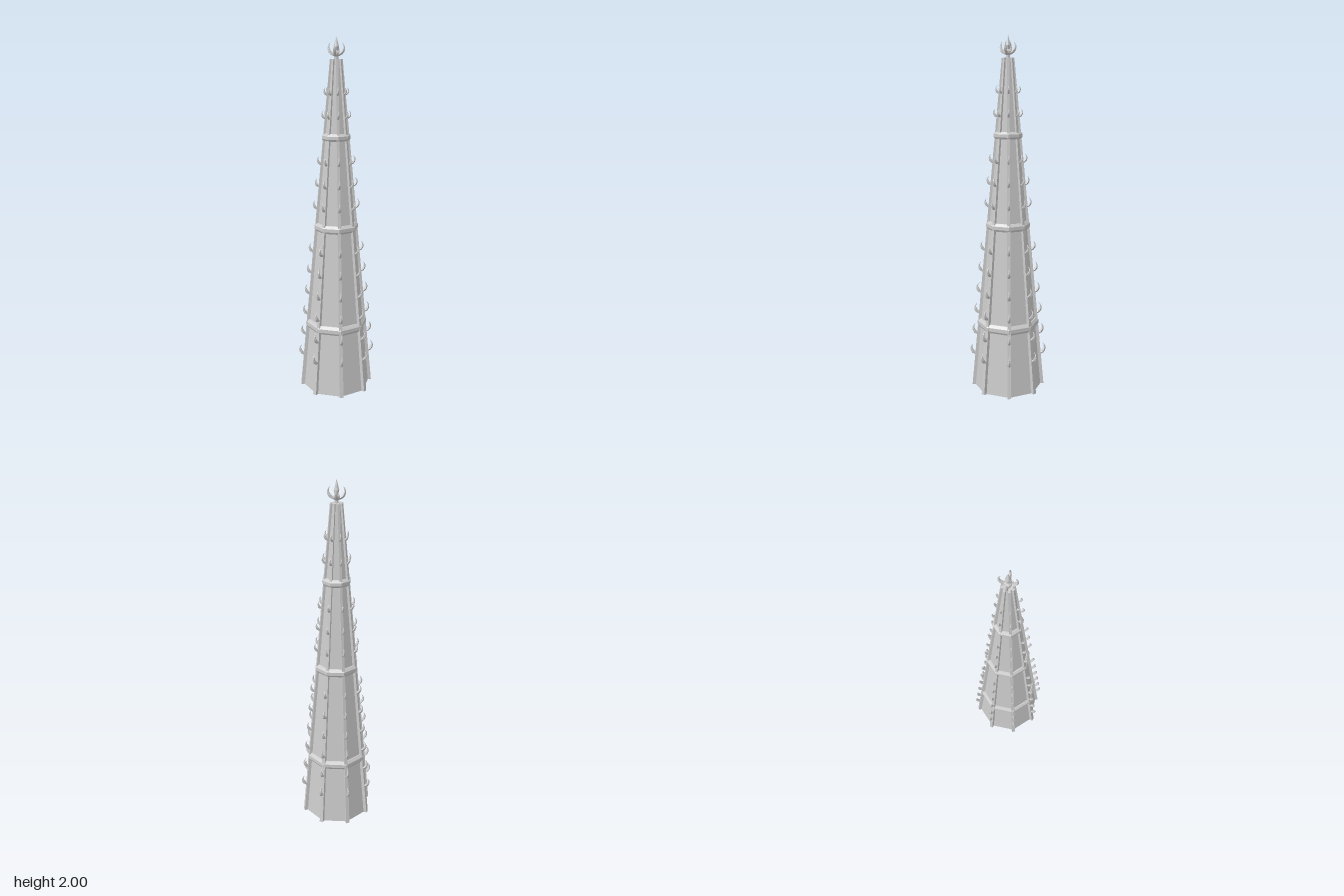
import * as THREE from 'three';

const TOP = 1.88;
const SIDES = 8;
const bodyRadius = (y) => 0.195 - (0.195 - 0.026) * (y / TOP);
const ribRadius = (y) => 0.21 - (0.21 - 0.034) * (y / TOP);

// Curved horn in the x-y plane, swelling in the middle and closing to a point
function hornGeometry(points, radius) {
  const curve = new THREE.CatmullRomCurve3(points.map(([x, y]) => new THREE.Vector3(x, y, 0)));
  const segments = 7, sides = 5;
  const geo = new THREE.TubeGeometry(curve, segments, radius, sides);
  const pos = geo.attributes.position;
  const v = new THREE.Vector3();
  for (let i = 0; i < pos.count; i++) {
    const t = Math.floor(i / (sides + 1)) / segments;
    const centre = curve.getPointAt(t);
    const size = t < 0.4 ? 0.8 + 0.5 * t : (1 - t) / 0.6;
    v.fromBufferAttribute(pos, i).sub(centre).multiplyScalar(size).add(centre);
    pos.setXYZ(i, v.x, v.y, v.z);
  }
  geo.computeVertexNormals();
  return geo;
}

// Eight-sided turned shape with flat sides facing the axes
function octagonLathe(profile) {
  return new THREE.LatheGeometry(profile.map(([r, y]) => new THREE.Vector2(r, y)), SIDES, Math.PI / SIDES);
}

// Tapering bar that leans with the spire edge
function ribGeometry() {
  const geo = new THREE.BoxGeometry(1, TOP, 1);
  const pos = geo.attributes.position;
  for (let i = 0; i < pos.count; i++) {
    const y = pos.getY(i) + TOP / 2;
    const x = pos.getX(i) > 0 ? ribRadius(y) : bodyRadius(y) - 0.015;
    const width = 0.021 - 0.009 * (y / TOP);
    pos.setXYZ(i, x, y, pos.getZ(i) * width);
  }
  geo.computeVertexNormals();
  return geo;
}

export function createModel() {
  const group = new THREE.Group();
  const stone = new THREE.MeshStandardMaterial({ color: 0xcccccc, flatShading: true });
  stone.name = 'stone';

  const add = (parent, name, geo) => {
    const mesh = new THREE.Mesh(geo, stone);
    mesh.name = name;
    parent.add(mesh);
    return mesh;
  };

  // Tapering octagonal body
  const body = add(group, 'spireBody',
    new THREE.CylinderGeometry(bodyRadius(TOP), bodyRadius(0), TOP, SIDES, 1, false, Math.PI / SIDES));
  body.position.y = TOP / 2;

  // Moulded bands with a sloping upper edge
  [0.387, 0.964, 1.468].forEach((y, i) => {
    const r = bodyRadius(y), out = 0.017;
    const h = 0.024 - i * 0.002;
    add(group, 'band', octagonLathe([
      [r - 0.01, y - h], [r + out * 0.6, y - h], [r + out, y - h * 0.5],
      [r + out, y + h * 0.35], [r + out * 0.25, y + h], [r - 0.01, y + h],
    ]));
  });

  // Corner ribs with rows of hooked crockets
  const rib = ribGeometry();
  const crocket = hornGeometry(
    [[-0.008, -0.058], [0.012, -0.05], [0.025, -0.03], [0.025, -0.012], [0.014, 0.004]], 0.0095);
  for (let i = 0; i < SIDES; i++) {
    const edge = new THREE.Group();
    edge.name = 'ribWithCrockets';
    edge.rotation.y = (i + 0.5) * Math.PI * 2 / SIDES;
    add(edge, 'rib', rib);
    for (let k = 0; k < 13; k++) {
      if (k === 6 || k === 10) continue;
      const y = 0.25 + 0.1235 * k;
      const hook = add(edge, 'crocket', crocket);
      hook.position.set(ribRadius(y), y, 0);
      hook.scale.setScalar(1.08 - 0.033 * k);
    }
    group.add(edge);
  }

  // Finial: bud with a pointed core and four curling leaves
  const finial = new THREE.Group();
  finial.name = 'finial';
  add(finial, 'finialBud', octagonLathe([
    [0.012, TOP - 0.005], [0.011, 1.895], [0.019, 1.905], [0.019, 1.915],
    [0.01, 1.925], [0.015, 1.945], [0.008, 1.97], [0, 2],
  ]));
  const leaf = hornGeometry(
    [[0.004, 1.9], [0.024, 1.908], [0.041, 1.927], [0.043, 1.947], [0.032, 1.968]], 0.009);
  for (let i = 0; i < 4; i++) {
    add(finial, 'finialLeaf', leaf).rotation.y = (i + 0.5) * Math.PI / 2;
  }
  group.add(finial);

  return group;
}
